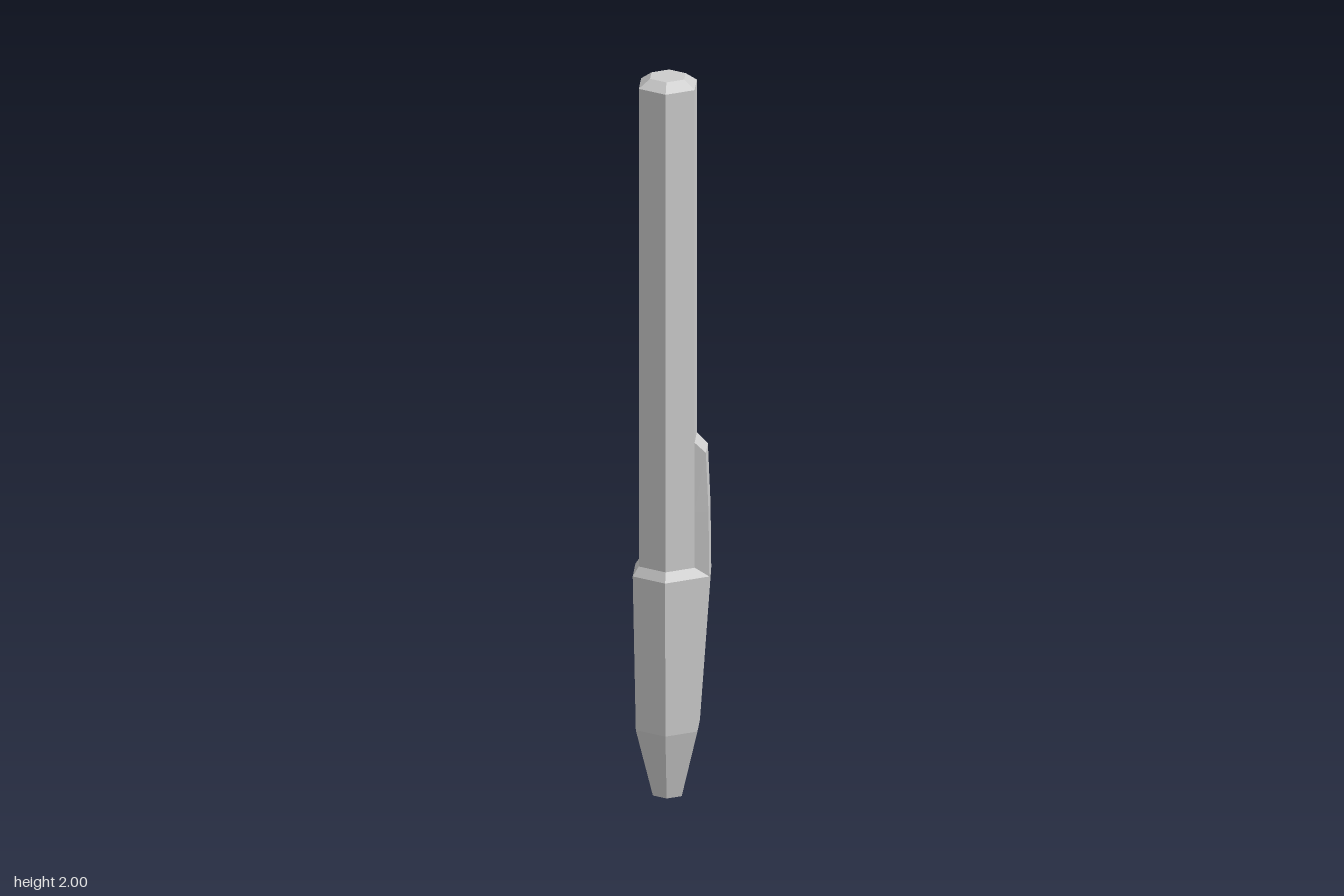
import * as THREE from 'three';

const AXIS_X = -0.012; // the clip side is thicker, so the barrel axis sits off centre

// Skins a stack of closed rings (counter-clockwise seen from above) and caps both ends.
function loft(name, rings, material) {
  const pos = [];
  const tri = (...pts) => pts.forEach((p) => pos.push(...p));
  const n = rings[0].length;
  for (let i = 0; i < rings.length - 1; i++) {
    const lo = rings[i], hi = rings[i + 1];
    for (let j = 0; j < n; j++) {
      const k = (j + 1) % n;
      tri(lo[j], lo[k], hi[k]);
      tri(lo[j], hi[k], hi[j]);
    }
  }
  const bottom = rings[0], top = rings[rings.length - 1];
  for (let j = 1; j < n - 1; j++) {
    tri(bottom[0], bottom[j + 1], bottom[j]);
    tri(top[0], top[j], top[j + 1]);
  }
  const geometry = new THREE.BufferGeometry();
  geometry.setAttribute('position', new THREE.Float32BufferAttribute(pos, 3));
  geometry.computeVertexNormals();
  const mesh = new THREE.Mesh(geometry, material);
  mesh.name = name;
  return mesh;
}

// Hexagon with corners on the z axis; rightX slides the +x side out along its neighbours.
function hexRing(y, r, rightX) {
  return Array.from({ length: 6 }, (_, k) => {
    const a = Math.PI / 6 + (k * Math.PI) / 3;
    let x = AXIS_X + r * Math.cos(a);
    let z = -r * Math.sin(a);
    if (rightX !== undefined && (k === 0 || k === 5)) {
      x = rightX;
      z = Math.sign(z) * (r - (rightX - AXIS_X) * Math.tan(Math.PI / 6));
    }
    return [x, y, z];
  });
}

// Four-cornered clip section: outer edge and inner edge may differ in height.
function clipRing(outX, outY, outZ, inX, inY, inZ) {
  return [[outX, outY, outZ], [outX, outY, -outZ], [inX, inY, -inZ], [inX, inY, inZ]];
}

export function createModel() {
  const group = new THREE.Group();
  group.name = 'pen';
  const grey = new THREE.MeshStandardMaterial({ color: 0xcccccc, flatShading: true });

  // Tapered tip, grip with shoulder, shaft and chamfered end
  group.add(loft('barrel', [
    hexRing(0, 0.044),
    hexRing(0.19, 0.094),
    hexRing(0.62, 0.103, 0.1),
    hexRing(0.645, 0.085),
    hexRing(1.977, 0.085),
    hexRing(2, 0.052),
  ], grey));

  // Clip rising from the grip shoulder, with a sloped top
  group.add(loft('clip', [
    clipRing(0.1, 0.62, 0.038, 0.058, 0.62, 0.042),
    clipRing(0.098, 0.8, 0.038, 0.06, 0.8, 0.0425),
    clipRing(0.091, 0.965, 0.039, 0.06, 0.995, 0.0425),
  ], grey));

  return group;
}
